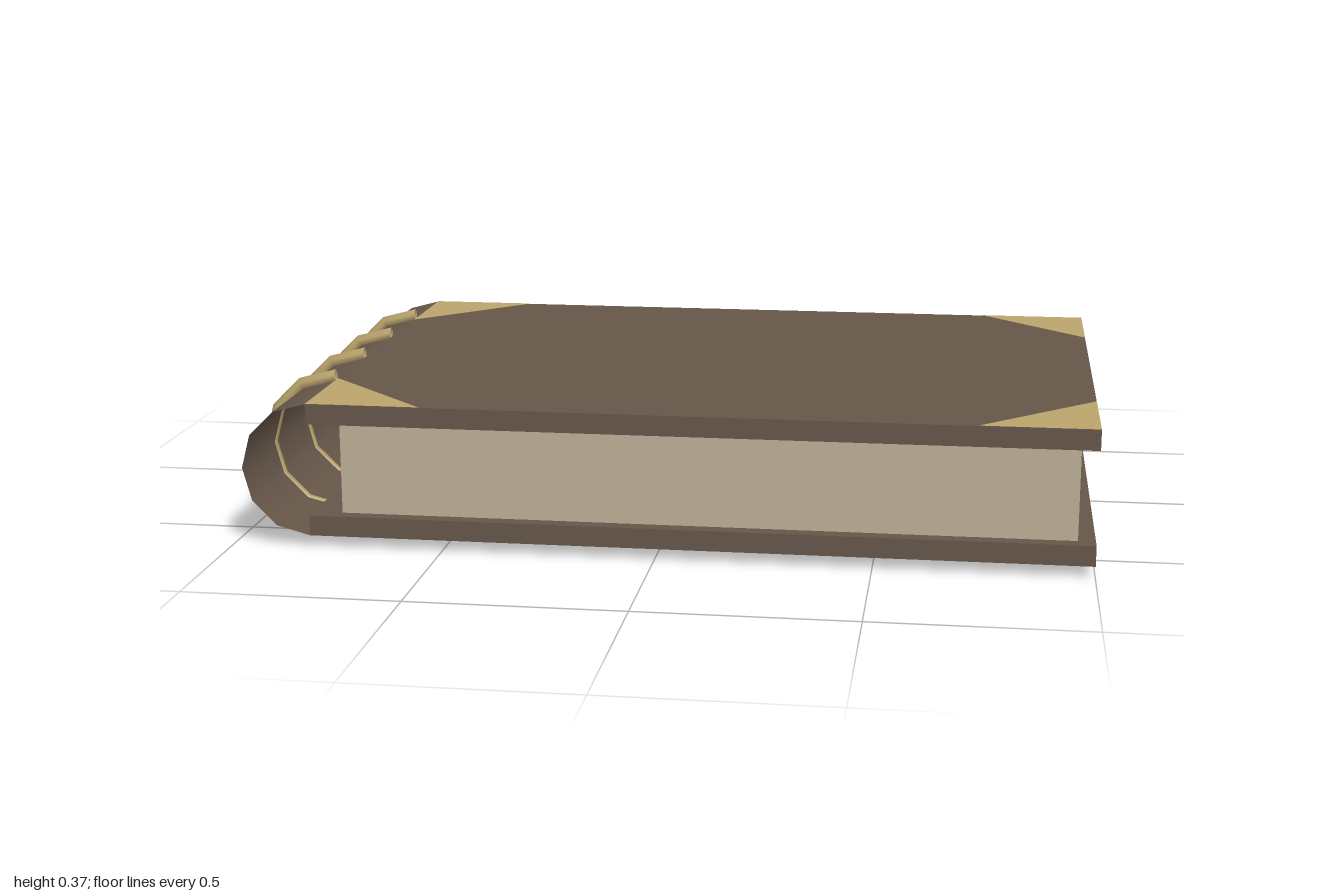
import * as THREE from 'three';

const leather = new THREE.MeshStandardMaterial({ color: 0x665649, side: THREE.DoubleSide });
const paper = new THREE.MeshStandardMaterial({ color: 0xbcb098 });
const brass = new THREE.MeshStandardMaterial({ color: 0xbaa36c, side: THREE.DoubleSide });

const LEFT = -0.815, RIGHT = 1, HALF_Z = 0.635, MID_Y = 0.185, HALF_Y = 0.158;

export function createModel() {
  const book = new THREE.Group();
  book.name = 'book';

  const add = (name, geometry, material, x = 0, y = 0, z = 0) => {
    const mesh = new THREE.Mesh(geometry, material);
    mesh.name = name;
    mesh.position.set(x, y, z);
    book.add(mesh);
  };

  // Cover boards
  const thick = 0.048;
  const cover = new THREE.BoxGeometry(RIGHT - LEFT, thick, HALF_Z * 2);
  const coverX = (LEFT + RIGHT) / 2, coverY = HALF_Y - thick / 2;
  add('topCover', cover, leather, coverX, MID_Y + coverY);
  add('bottomCover', cover, leather, coverX, MID_Y - coverY);

  // Page block, inset from the covers
  add('pages', new THREE.BoxGeometry(1.705, 0.22, 1.2), paper, 0.1075, MID_Y);

  // Hollow rounded spine
  const spine = new THREE.CylinderGeometry(HALF_Y, HALF_Y, HALF_Z * 2, 6, 1, true, Math.PI, Math.PI);
  spine.rotateX(Math.PI / 2);
  add('spine', spine, leather, LEFT, MID_Y);

  // Half rings across the spine
  const ring = new THREE.TorusGeometry(0.169, 0.016, 5, 6, Math.PI);
  ring.rotateZ(Math.PI / 2);
  for (let i = 0; i < 4; i++) add('spineRing', ring, brass, LEFT, MID_Y, -0.381 + i * 0.254);

  // Triangular corner plates on the top cover
  const leg = 0.27;
  for (const sx of [-1, 1]) {
    for (const sz of [-1, 1]) {
      const pts = [[0, 0], [-sx * leg, 0], [0, sz * leg]].map(p => new THREE.Vector2(...p));
      const plate = new THREE.ShapeGeometry(new THREE.Shape(pts));
      plate.rotateX(-Math.PI / 2);
      add('cornerPlate', plate, brass, sx < 0 ? LEFT : RIGHT, MID_Y + HALF_Y + 0.001, sz * HALF_Z);
    }
  }
  return book;
}
